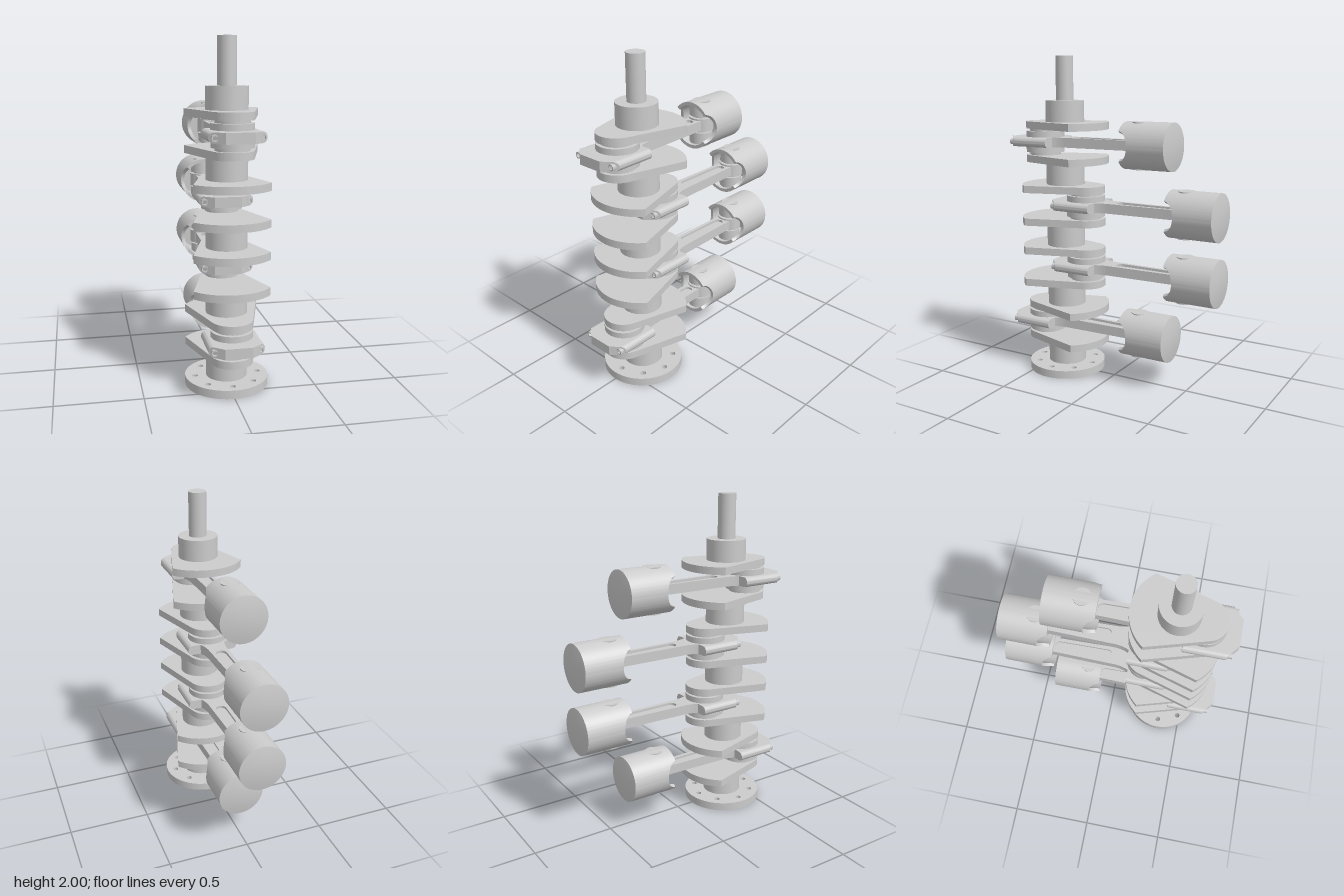
import * as THREE from 'three';
import { toCreasedNormals } from 'three/addons/utils/BufferGeometryUtils.js';

const SHAFT_Z = 0.355, THROW = 0.15, ROD = 0.685;
const material = new THREE.MeshStandardMaterial({ color: 0xcccccc });

function add(parent, name, geometry, x = 0, y = 0, z = 0) {
  const mesh = new THREE.Mesh(geometry, material);
  mesh.name = name;
  mesh.position.set(x, y, z);
  parent.add(mesh);
  return mesh;
}

const cylinder = (r, h) => new THREE.CylinderGeometry(r, r, h, 48);

// Flat plate centred on y = 0; the shape's +y points to the back (-z)
function plate(shape, height) {
  const g = new THREE.ExtrudeGeometry(shape, { depth: height, bevelEnabled: false, curveSegments: 32 });
  g.translate(0, 0, -height / 2).rotateX(-Math.PI / 2);
  return toCreasedNormals(g, 0.5);
}

function circleHole(x, y, r) {
  return new THREE.Path().absarc(x, y, r, 0, Math.PI * 2, true);
}

// Output flange with a ring of bolt holes
function flangeGeometry() {
  const shape = new THREE.Shape().absarc(0, 0, 0.243, 0, Math.PI * 2);
  for (let i = 0; i < 8; i++) {
    const a = i * Math.PI / 4;
    shape.holes.push(circleHole(0.187 * Math.cos(a), 0.187 * Math.sin(a), 0.017));
  }
  return plate(shape, 0.05);
}

// Crank web: round nose about the pin, tapering out to a counterweight arc
function webGeometry() {
  const a = Math.atan2(0.165, 0.218), t = 0.286;
  const shape = new THREE.Shape();
  shape.absarc(0, 0, 0.273, a, Math.PI - a, false);
  shape.absarc(0, -THROW, 0.12, Math.PI + t, Math.PI * 2 - t, false);
  shape.closePath();
  return plate(shape, 0.045);
}

// Hollow piston along -z, domed crown, skirt arched away on both sides
function pistonGeometry() {
  const R = 0.1425, rim = -0.09;
  const profile = [[0, 0.15], [0.122, 0.15], [0.122, rim], [R, rim], [R, 0.215],
    [0.105, 0.222], [0.055, 0.228], [0, 0.23]].map(p => new THREE.Vector2(...p));
  const g = new THREE.LatheGeometry(profile, 128);
  const pos = g.attributes.position;
  for (let i = 0; i < pos.count; i++) {
    if (pos.getY(i) > rim + 0.01) continue;
    const x = pos.getX(i), z = pos.getZ(i);
    const s = R * z / Math.hypot(x, z) / 0.088;
    if (Math.abs(s) < 1) pos.setY(i, rim + 0.067 * Math.sqrt(1 - s * s));
  }
  g.rotateX(-Math.PI / 2);
  return toCreasedNormals(g, 0.6);
}

// Rod beam with a long slot, closed by a thinner web
function shankGeometry() {
  const shape = new THREE.Shape();
  shape.moveTo(-0.1, 0.07);
  shape.lineTo(0.1, 0.07);
  shape.quadraticCurveTo(0.062, 0.12, 0.058, 0.19);
  shape.lineTo(0.048, ROD - 0.04);
  shape.lineTo(-0.048, ROD - 0.04);
  shape.lineTo(-0.058, 0.19);
  shape.quadraticCurveTo(-0.062, 0.12, -0.1, 0.07);
  const slot = new THREE.Path();
  slot.absarc(0, 0.255, 0.033, Math.PI, Math.PI * 2, false);
  slot.absarc(0, 0.57, 0.028, 0, Math.PI, false);
  slot.closePath();
  shape.holes.push(slot);
  return plate(shape, 0.06);
}

// Big end with a chamfered cap
function bigEndGeometry() {
  const shape = new THREE.Shape([[-0.128, 0.105], [-0.128, -0.159], [-0.078, -0.2],
    [0.078, -0.2], [0.128, -0.159], [0.128, 0.105]].map(p => new THREE.Vector2(...p)));
  return plate(shape, 0.06);
}

// Bolt boss whose front end follows the chamfer of the cap
function bossGeometry(side) {
  const g = new THREE.CylinderGeometry(0.03, 0.03, 0.264, 32);
  g.translate(0, -0.027, 0);
  const pos = g.attributes.position;
  for (let i = 0; i < pos.count; i++) {
    if (pos.getY(i) < 0) pos.setY(i, pos.getY(i) + side * pos.getX(i) * 0.82);
  }
  g.rotateX(-Math.PI / 2);
  return toCreasedNormals(g, 0.6);
}

// Small tube around a bolt end
function boltGeometry() {
  const p = [[0.012, -0.02], [0.019, -0.02], [0.019, 0.02], [0.012, 0.02], [0.012, -0.02]];
  const g = new THREE.LatheGeometry(p.map(q => new THREE.Vector2(...q)), 24);
  return toCreasedNormals(g.rotateX(-Math.PI / 2), 0.6);
}

// Connecting rod and piston, origin at the crank pin
function rodAndPiston() {
  const group = new THREE.Group();
  group.name = 'rodAndPiston';
  add(group, 'bigEndBearing', cylinder(0.12, 0.132));
  add(group, 'bigEnd', bigEndGeometry());
  for (const side of [-1, 1]) {
    add(group, 'boltBoss', bossGeometry(side), side * 0.128);
    add(group, 'bolt', boltGeometry(), side * 0.128, 0, 0.15);
  }
  add(group, 'rodShank', shankGeometry());
  add(group, 'rodWeb', new THREE.BoxGeometry(0.08, 0.03, 0.42), 0, 0, -0.41);
  add(group, 'smallEnd', cylinder(0.075, 0.08), 0, 0, -ROD);
  add(group, 'piston', pistonGeometry(), 0, 0, -ROD);
  add(group, 'pistonPin', cylinder(0.053, 0.28), 0, 0, -ROD);
  for (const side of [-1, 1]) {
    add(group, 'pinBoss', cylinder(0.07, 0.07), 0, side * 0.085, -ROD);
  }
  return group;
}

export function createModel() {
  const model = new THREE.Group();
  model.name = 'crankshaftAssembly';

  // Shaft: flange, main journals, nose
  add(model, 'flange', flangeGeometry(), 0, 0.025, SHAFT_Z);
  const journals = [[0.05, 0.19], [0.43, 0.575], [0.815, 0.965], [1.205, 1.35], [1.595, 1.73]];
  for (const [y0, y1] of journals) {
    add(model, 'mainJournal', cylinder(0.12, y1 - y0), 0, (y0 + y1) / 2, SHAFT_Z);
  }
  add(model, 'nose', cylinder(0.054, 0.28), 0, 1.86, SHAFT_Z);

  // Throws: outer pair forwards, inner pair backwards
  const throws = [[0.208, 0.413, 0.31, 1], [0.593, 0.798, 0.698, -1],
    [0.982, 1.188, 1.086, -1], [1.367, 1.577, 1.473, 1]];
  const web = webGeometry();
  for (const [low, high, y, dir] of throws) {
    const pinZ = SHAFT_Z + dir * THROW;
    for (const webY of [low, high]) {
      add(model, 'crankWeb', web, 0, webY, SHAFT_Z).rotation.y = dir > 0 ? 0 : Math.PI;
    }
    add(model, 'crankPin', cylinder(0.097, high - low), 0, (low + high) / 2, pinZ);
    const rod = rodAndPiston();
    rod.position.set(0, y, pinZ);
    model.add(rod);
  }
  return model;
}
